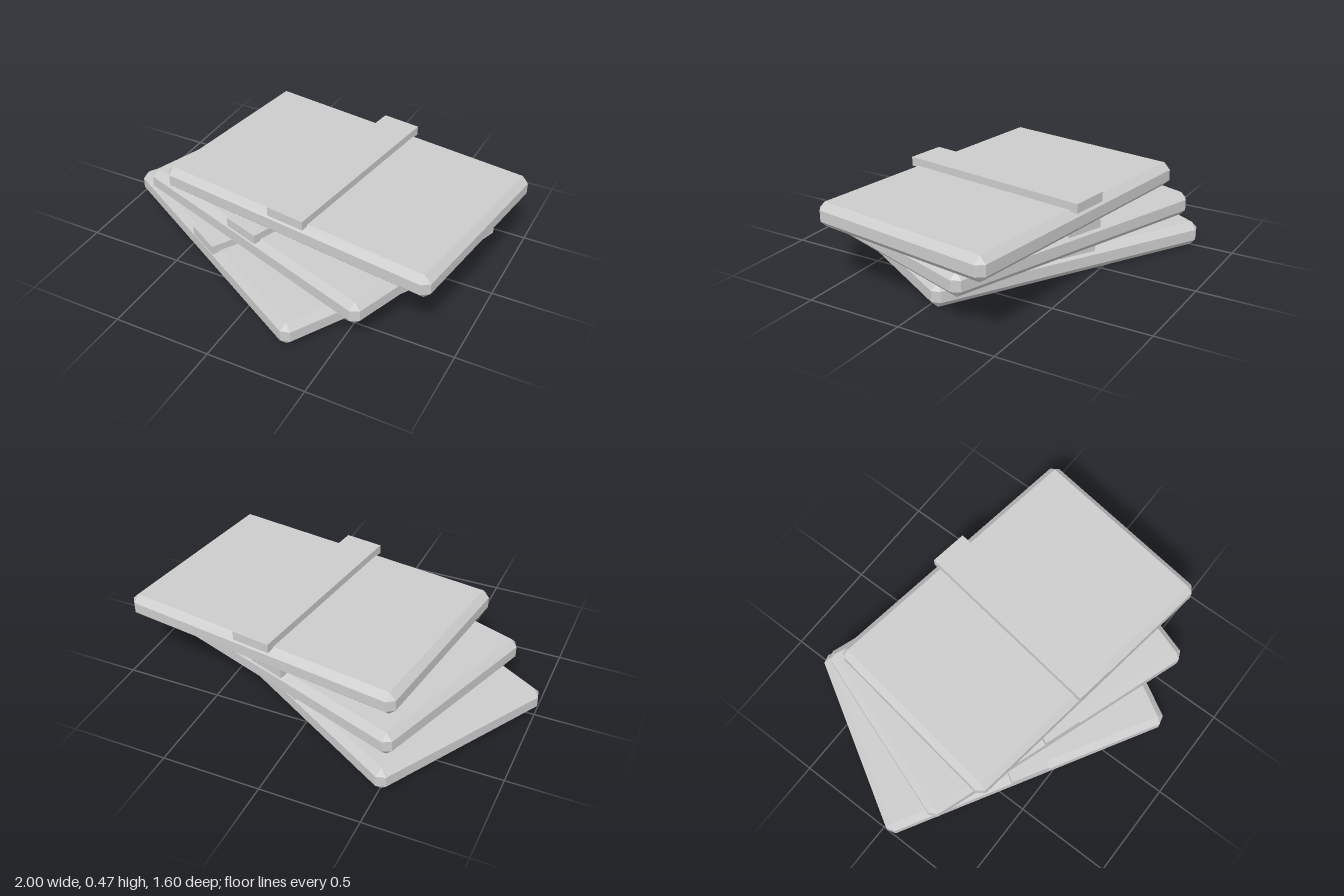
import * as THREE from 'three';
import { ConvexGeometry } from 'three/addons/geometries/ConvexGeometry.js';

// Box with every edge cut by a flat 45 degree bevel
function bevelledBox(w, h, d, b) {
  const points = [];
  for (const x of [-w / 2, w / 2])
    for (const y of [-h / 2, h / 2])
      for (const z of [-d / 2, d / 2]) {
        const ix = x - Math.sign(x) * b, iy = y - Math.sign(y) * b, iz = z - Math.sign(z) * b;
        points.push(
          new THREE.Vector3(x, iy, iz),
          new THREE.Vector3(ix, y, iz),
          new THREE.Vector3(ix, iy, z)
        );
      }
  return new ConvexGeometry(points);
}

export function createModel() {
  const model = new THREE.Group();
  model.name = 'slabStack';
  const grey = new THREE.MeshStandardMaterial({ color: 0xcccccc });
  grey.name = 'light grey';

  const thickness = 0.124;
  const slabGeometry = bevelledBox(1.52, thickness, 1.01, 0.034);
  const bandGeometry = new THREE.BoxGeometry(0.2, 0.047, 1.03);

  // Three slabs, each turned and shifted a step from the one below
  for (let i = 0; i < 3; i++) {
    const bundle = new THREE.Group();
    bundle.name = 'bundle' + (i + 1);
    bundle.position.set(-0.11 + i * 0.146, i * 0.154, -i * 0.0235);
    bundle.rotation.y = -THREE.MathUtils.degToRad(30 - i * 11);

    const slab = new THREE.Mesh(slabGeometry, grey);
    slab.name = 'slab';
    slab.position.y = thickness / 2;

    // Raised band across the top, just overhanging both long edges
    const band = new THREE.Mesh(bandGeometry, grey);
    band.name = 'band';
    band.position.y = 0.139;

    bundle.add(slab, band);
    model.add(bundle);
  }
  return model;
}
